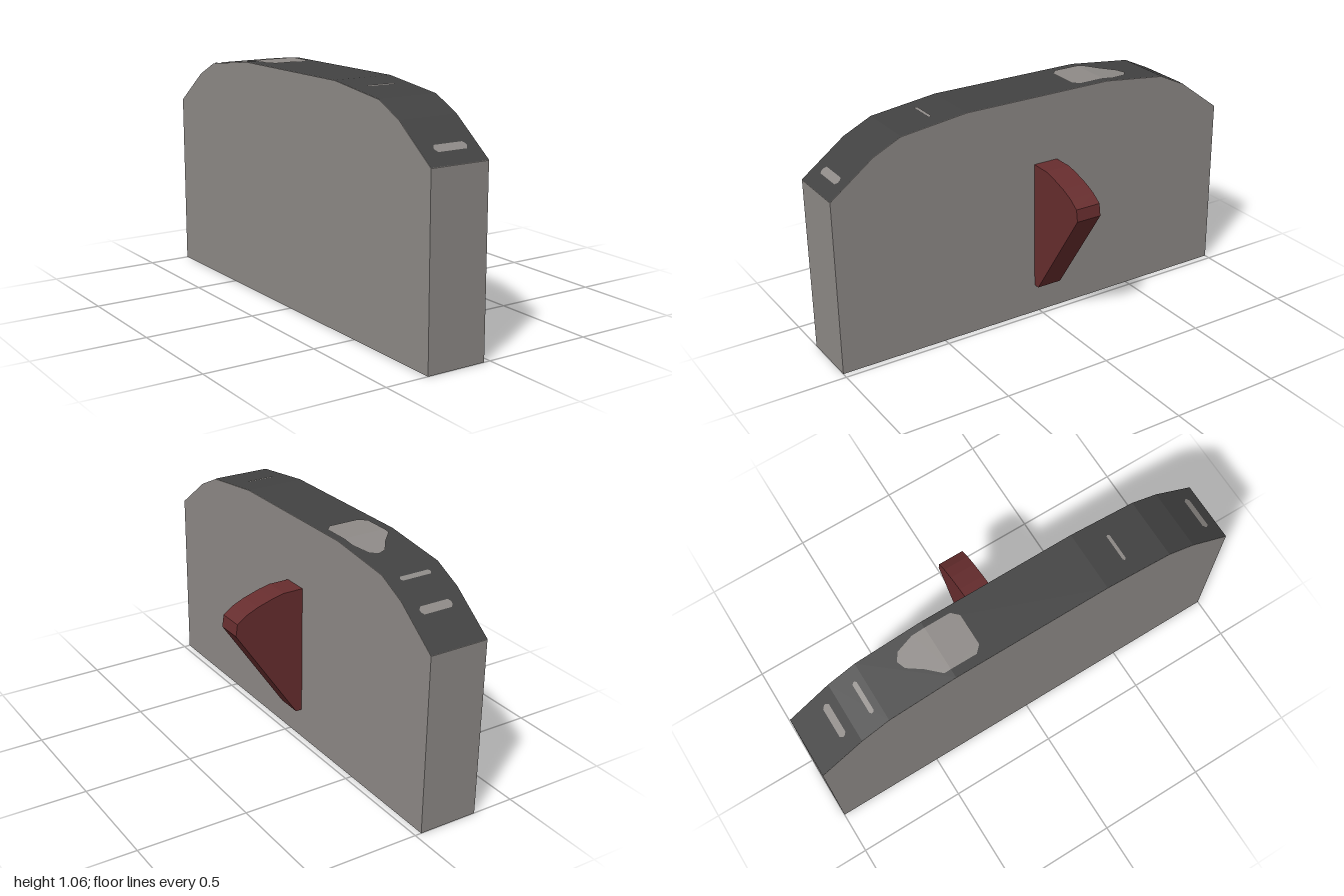
import * as THREE from 'three';

// Half outline of the wall's top edge, as [z, y], from the middle outwards
const TOP = [[0, 1.055], [0.36, 1.055], [0.67, 1.017], [0.8, 0.955], [1, 0.805]];
const X0 = -0.305, X1 = -0.03;

const material = (name, color) => {
  const m = new THREE.MeshStandardMaterial({ color });
  m.name = name;
  return m;
};

// Height of the wall's top edge at a given z
function topY(z) {
  const a = Math.abs(z);
  let i = 1;
  while (i < TOP.length - 1 && a > TOP[i][0]) i++;
  const [z0, y0] = TOP[i - 1], [z1, y1] = TOP[i];
  return y0 + (y1 - y0) * (a - z0) / (z1 - z0);
}

const outline = (points) => new THREE.Shape(points.map(([a, b]) => new THREE.Vector2(a, b)));

// Flat outline of [x, z] points laid onto one facet of the top edge
function drape(points, lift) {
  const geo = new THREE.ShapeGeometry(outline(points.map(([x, z]) => [x, -z])));
  geo.rotateX(-Math.PI / 2);
  const p = geo.attributes.position;
  for (let i = 0; i < p.count; i++) p.setY(i, topY(p.getZ(i)) + lift);
  geo.computeVertexNormals();
  return geo;
}

// Small worn strip with clipped corners
function strip(x0, x1, z0, z1) {
  const c = (z1 - z0) * 0.35;
  return [[x0 + c, z0], [x1 - c, z0], [x1, z0 + c], [x1, z1 - c],
    [x1 - c, z1], [x0 + c, z1], [x0, z1 - c], [x0, z0 + c]];
}

export function createModel() {
  const group = new THREE.Group();
  const stone = material('stone', 0x8e8a87);
  const dark = material('darkCoping', 0x424242);
  const red = material('darkRed', 0x672d2e);
  const add = (name, geo, mat, parent = group) => {
    const mesh = new THREE.Mesh(geo, mat);
    mesh.name = name;
    parent.add(mesh);
    return mesh;
  };

  // Wall slab with a faceted arched top
  const right = TOP.slice(1);
  const left = right.map(([z, y]) => [-z, y]).reverse();
  const wall = new THREE.ExtrudeGeometry(
    outline([[-1, 0], [1, 0], ...right.slice().reverse(), ...left.slice().reverse()]),
    { depth: X1 - X0, bevelEnabled: false });
  wall.rotateY(Math.PI / 2).translate(X0, 0, 0);
  add('wall', wall, stone);

  // Dark coping over each facet of the top
  const coping = new THREE.Group();
  coping.name = 'coping';
  group.add(coping);
  const zs = [...left, ...right].map(([z]) => z);
  for (let i = 0; i < zs.length - 1; i++) {
    const a = zs[i], b = zs[i + 1];
    add('copingFacet', drape([[X0, a], [X1, a], [X1, b], [X0, b]], 0.002), dark, coping);
  }

  // Worn patches where the stone shows through
  const patches = new THREE.Group();
  patches.name = 'wornPatches';
  group.add(patches);
  [
    strip(-0.24, -0.085, 0.917, 0.947),
    strip(-0.235, -0.105, 0.485, 0.5),
    strip(-0.24, -0.09, -0.72, -0.7),
    strip(-0.24, -0.085, -0.866, -0.836),
    // Large patch, in two halves across the fold
    [[-0.265, -0.36], [-0.265, -0.24], [-0.235, -0.21], [-0.09, -0.21], [-0.06, -0.24], [-0.06, -0.36]],
    [[-0.265, -0.36], [-0.06, -0.36], [-0.06, -0.42], [-0.085, -0.5], [-0.12, -0.525],
      [-0.16, -0.51], [-0.205, -0.45], [-0.265, -0.39]],
  ].forEach((pts) => add('wornPatch', drape(pts, 0.005), stone, patches));

  // Fan-shaped fin on the side of the wall
  const fin = new THREE.ExtrudeGeometry(outline([
    [X1, 0.14], [0, 0.14], [0.305, 0.595], [0.297, 0.65], [0.25, 0.683],
    [0.195, 0.707], [0.12, 0.73], [0.065, 0.742], [X1, 0.742],
  ]), { depth: 0.12, bevelEnabled: false });
  fin.translate(0, 0, -0.095);
  add('sideFin', fin, red);

  return group;
}
